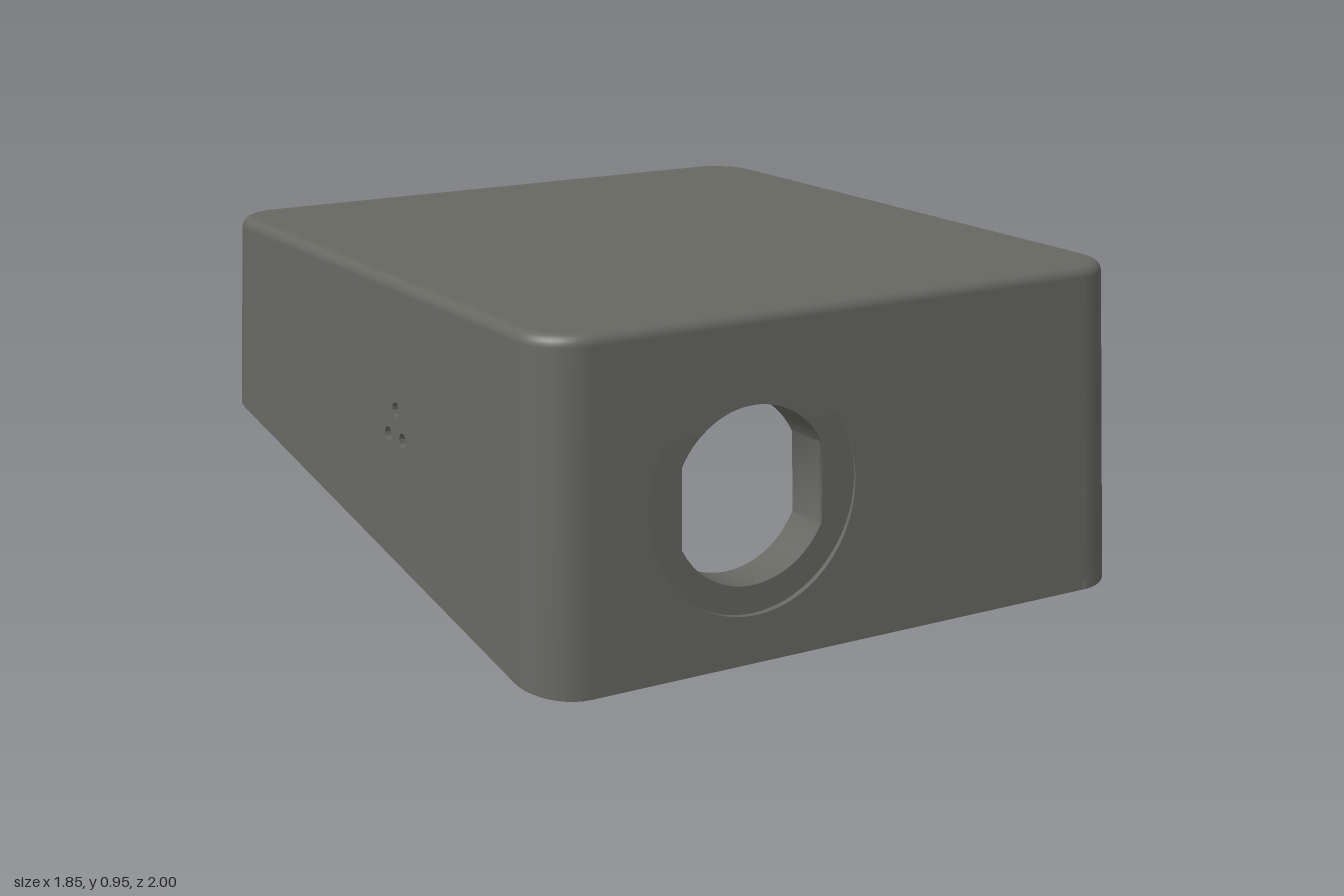
import * as THREE from 'three';
import { toCreasedNormals } from 'three/addons/utils/BufferGeometryUtils.js';

const R = 0.14, SHOULDER = 0.92, TOP = 0.95, CEILING = 0.88;
const plane = z => 0.222 - 0.178 * z;            // sloping underside
const halfW = y => 0.925 - 0.035 * (y - 0.05);   // drafted walls
const front = y => 1 - 0.035 * (y - 0.05);
const back = y => -1 + 0.035 * (y - 0.4);
const plastic = new THREE.MeshStandardMaterial({ color: 0x676762, side: THREE.DoubleSide });

// Rounded outline of the case; y = null follows the sloping underside
const SEG = 10;
function ring(y, inset = 0) {
  const pts = [];
  for (let q = 0; q < 4; q++) for (let i = 0; i <= SEG; i++) {
    const t = (q + i / SEG) * Math.PI / 2;
    const sx = q === 0 || q === 3 ? 1 : -1;
    let h = y === null ? 0.2 : y, x, z;
    for (let k = 0; k < 5; k++) {
      x = sx * (halfW(h) - R) + (R - inset) * Math.cos(t);
      z = (q < 2 ? front(h) - R : back(h) + R) + (R - inset) * Math.sin(t);
      if (y === null) h = plane(z);
    }
    pts.push(new THREE.Vector3(x, h, z));
  }
  return pts;
}

// Strip of quads between rings; skip(row, column) leaves gaps
function skin(rings, skip) {
  const n = rings[0].length, pos = rings.flat().flatMap(p => [p.x, p.y, p.z]), idx = [];
  for (let r = 0; r < rings.length - 1; r++) for (let i = 0; i < n; i++) {
    if (skip(r, i)) continue;
    const a = r * n + i, b = r * n + (i + 1) % n;
    idx.push(a, a + n, b, b, a + n, b + n);
  }
  const g = new THREE.BufferGeometry();
  g.setAttribute('position', new THREE.Float32BufferAttribute(pos, 3));
  g.setIndex(idx);
  return g;
}

// Move every vertex by a rule
function warp(g, rule) {
  const p = g.attributes.position;
  for (let i = 0; i < p.count; i++) p.setXYZ(i, ...rule(p.getX(i), p.getY(i), p.getZ(i)));
  return g;
}

const poly = pts => new THREE.Shape(pts.map(p => new THREE.Vector2(p[0], p[1])));
const circle = (x, y, r) => new THREE.Path().absarc(x, y, r, 0, Math.PI * 2, true);
const slab = shape => new THREE.ExtrudeGeometry(shape, { depth: 1, bevelEnabled: false, curveSegments: 32 });

export function createModel() {
  const group = new THREE.Group();
  const addSmooth = (name, g, x = 0, y = 0, z = 0) => {
    const m = new THREE.Mesh(g, plastic);
    m.name = name;
    m.position.set(x, y, z);
    group.add(m);
  };
  const add = (name, g, ...at) => addSmooth(name, toCreasedNormals(g, 0.6), ...at);

  // Outer shell with rounded top edge, leaving the front and one side for pierced panels
  const bottom = ring(null), rings = [bottom], normals = [];
  const addNormals = a => {
    for (let q = 0; q < 4; q++) for (let i = 0; i <= SEG; i++) {
      const t = (q + i / SEG) * Math.PI / 2;
      normals.push(Math.cos(t) * Math.cos(a), Math.sin(a), Math.sin(t) * Math.cos(a));
    }
  };
  addNormals(0.035);
  for (let i = 0; i <= 6; i++) {
    const a = i / 6 * Math.PI / 2;
    rings.push(ring(SHOULDER + 0.03 * Math.sin(a), 0.03 * (1 - Math.cos(a))));
    addNormals(Math.max(a, 0.035));
  }
  const frontGap = SEG, sideGap = 2 * SEG + 1;
  const shell = skin(rings, (r, i) => r === 0 && (i === frontGap || i === sideGap));
  shell.setAttribute('normal', new THREE.Float32BufferAttribute(normals, 3));
  addSmooth('outerShell', shell);
  add('top', new THREE.ShapeGeometry(poly(rings.at(-1).map(p => [p.x, -p.z]))).rotateX(-Math.PI / 2), 0, TOP, 0);

  // Front wall: drafted face, upright recess floor that fades out upwards, thick wall
  const fx = [bottom[SEG].x, rings[1][SEG].x], hx = -0.305, hy = 0.481, rOut = 0.31, rIn = 0.235;
  const fade = 0.66 - hy, A = Math.asin(fade / rOut), B = Math.asin(fade / rIn), F = Math.acos(0.21 / rIn);
  const frontShape = () => poly([[-fx[0], 0.05], [fx[0], 0.05], [fx[1], SHOULDER], [-fx[1], SHOULDER]]);
  const frontPanel = (name, shape, outer, inner) =>
    add(name, warp(slab(shape), (x, y, d) => {
      const z = d > 0.5 ? outer(y) : inner(y);
      return [x, y < 0.06 ? plane(z) : y, z];
    }));
  const face = frontShape();
  face.holes.push(new THREE.Path()
    .absarc(hx, hy, rOut, Math.PI - A, 2 * Math.PI + A)
    .absarc(hx, hy, rIn, B, Math.PI - B));
  frontPanel('frontFace', face, front, () => 0.966);
  const floor = new THREE.Shape();
  floor.absarc(hx, hy, rOut, Math.PI - A, 2 * Math.PI + A);
  floor.absarc(hx, hy, rIn, B, F, true);
  floor.absarc(hx, hy, rIn, 2 * Math.PI - F, Math.PI + F, true);
  floor.absarc(hx, hy, rIn, Math.PI - F, Math.PI - B, true);
  frontPanel('recessFloor', floor, () => 0.978, () => 0.966);
  const wall = frontShape();
  wall.holes.push(new THREE.Path()
    .absarc(hx, hy, rIn, F, Math.PI - F)
    .absarc(hx, hy, rIn, Math.PI + F, 2 * Math.PI - F));
  frontPanel('frontWall', wall, () => 0.966, y => front(y) - 0.14);

  // Right wall: outer layer with three vents, inner layer with an arched recess
  const f0 = bottom[sideGap], b0 = bottom[sideGap + 1], f1 = rings[1][sideGap], b1 = rings[1][sideGap + 1];
  const vz = 0.18, vy = 0.555, vr = 0.24;
  const sidePanel = (name, shape, outer, inner) =>
    add(name, warp(slab(shape), (s, y, d) => [-halfW(y) + (d > 0.5 ? outer : inner), y, s]));
  const vents = poly([[b0.z, b0.y], [f0.z, f0.y], [f1.z, SHOULDER], [b1.z, SHOULDER]]);
  for (let i = 0; i < 3; i++) {
    const t = Math.PI / 2 + i * Math.PI * 2 / 3;
    vents.holes.push(circle(vz + 0.05 * Math.cos(t), vy + 0.05 * Math.sin(t), 0.02));
  }
  sidePanel('ventWall', vents, 0, 0.1);
  const arch = new THREE.Shape();
  arch.moveTo(b0.z, b0.y);
  arch.lineTo(vz - vr, plane(vz - vr));
  arch.absarc(vz, vy, vr, Math.PI, 0, true);
  arch.lineTo(vz + vr, plane(vz + vr));
  arch.lineTo(f0.z, f0.y);
  arch.lineTo(f1.z, SHOULDER);
  arch.lineTo(b1.z, SHOULDER);
  sidePanel('archedWall', arch, 0.1, 0.155);

  // Cavity: outline, remaining inner walls and ceiling
  const cavity = [[0.77, -0.6], [0.77, 0.72], [0.64, 0.86], [-0.64, 0.86],
    [-0.77, 0.72], [-0.77, -0.6], [-0.6, -0.8], [0.6, -0.8]];
  add('innerWalls', skin([
    cavity.map(([x, z]) => new THREE.Vector3(x, plane(z), z)),
    cavity.map(([x, z]) => new THREE.Vector3(x, CEILING, z)),
  ], (r, i) => i === 2 || i === 4));
  add('ceiling', warp(new THREE.ShapeGeometry(poly(cavity)), (x, z) => [x, CEILING, z]));

  // Sloping rim with a screw hole in each corner; the rim is notched at the arch
  const rim = poly(bottom.map(p => [p.x, p.z]));
  const notch = cavity.slice();
  notch.splice(5, 0, [-0.77, vz + vr], [-0.815, vz + vr], [-0.815, vz - vr], [-0.77, vz - vr]);
  rim.holes.push(new THREE.Path(notch.map(p => new THREE.Vector2(...p))));
  const corners = [[1, 1], [-1, 1], [-1, -1], [1, -1]].map(([sx, sz]) => [sx * 0.81, sz * 0.89]);
  corners.forEach(([x, z]) => rim.holes.push(circle(x, z, 0.053)));
  add('rim', warp(new THREE.ShapeGeometry(rim, 24), (x, z) => [x, plane(z), z]));
  corners.forEach(([x, z]) => {
    add('screwHole', warp(new THREE.CylinderGeometry(0.053, 0.053, 0.06, 24, 1, true),
      (px, py, pz) => [px, py > 0 ? 0.06 : plane(z + pz) - plane(z), pz]), x, plane(z), z);
    add('screwSeat', new THREE.RingGeometry(0.025, 0.053, 24).rotateX(Math.PI / 2), x, plane(z) + 0.06, z);
    add('screwBore', new THREE.CylinderGeometry(0.025, 0.025, 0.12, 16, 1, true), x, plane(z) + 0.12, z);
  });

  // Hollow round post from the ceiling down to height y
  const post = (name, x, y, z, r, bore) => {
    const h = CEILING - y, c = 0.01;
    add(name, new THREE.LatheGeometry([[0, 0.1], [bore, 0.1], [bore, 0], [r - c, 0], [r, c], [r, h]]
      .map(p => new THREE.Vector2(...p)), 28), x, y, z);
  };
  for (const s of [-1, 1]) {
    post('rearPost', s * 0.67, 0.257, -0.595, 0.07, 0.032);
    add('rearWeb', new THREE.BoxGeometry(0.1, CEILING - 0.36, 0.06), s * 0.75, (CEILING + 0.36) / 2, -0.595);
    add('frontPeg', new THREE.BoxGeometry(0.07, CEILING, 0.11), s * 0.69, CEILING / 2, 0.625);
    for (const z of [0.53, -0.12])
      add('wallRib', new THREE.BoxGeometry(0.06, CEILING - plane(z) - 0.04, 0.05),
        s * 0.75, (CEILING + plane(z) + 0.04) / 2, z);
  }

  // Side post, and a pair of joined posts under the ceiling
  post('sidePost', 0.67, 0.24, 0.41, 0.06, 0.025);
  post('ceilingPost', 0.3, 0.47, -0.2, 0.07, 0.025);
  post('ceilingPost', 0.3, 0.45, 0.02, 0.07, 0.025);
  add('ceilingWeb', new THREE.BoxGeometry(0.08, 0.36, 0.22), 0.3, CEILING - 0.18, -0.09);
  return group;
}
